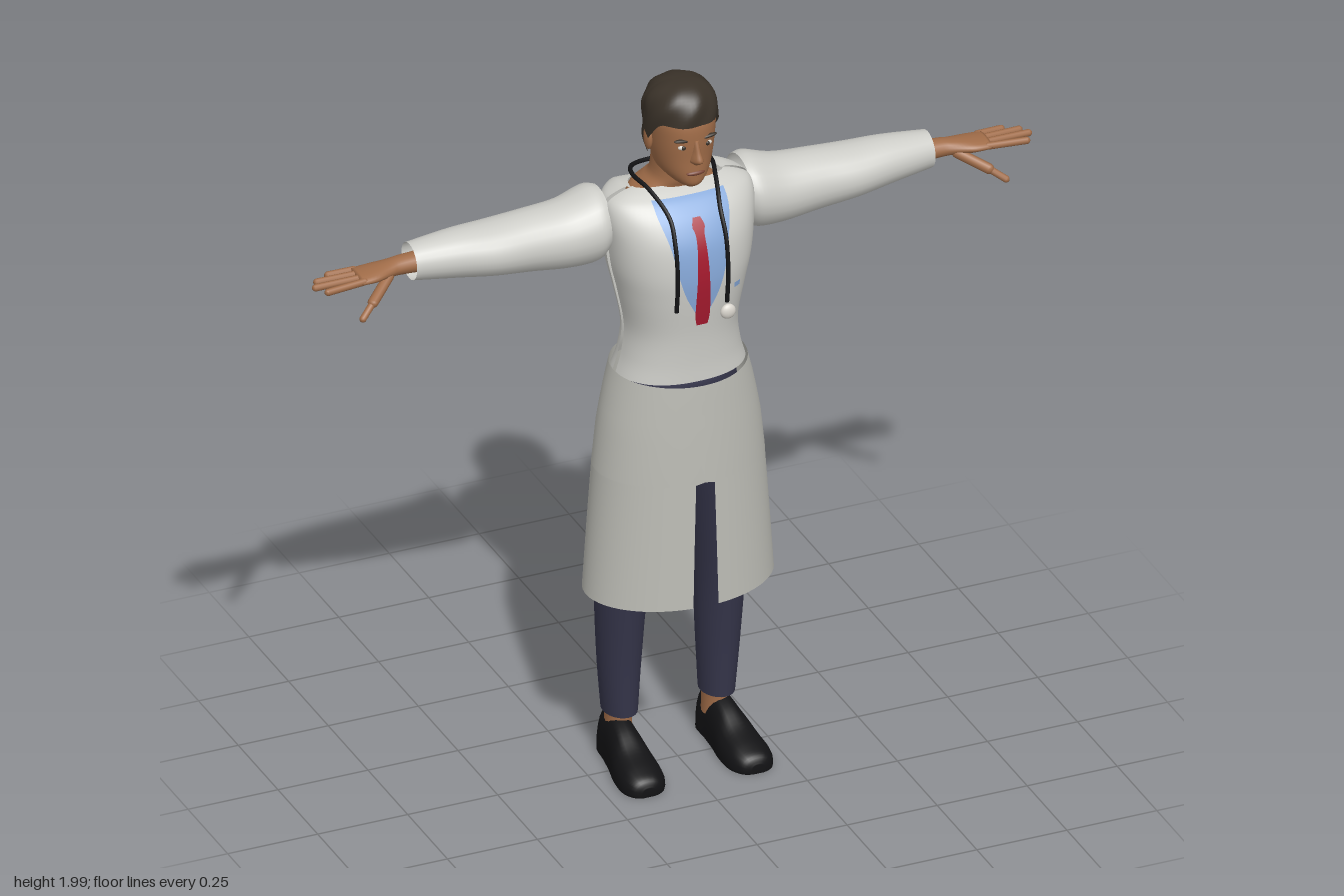
import * as THREE from 'three';

const mat = (name, color) => new THREE.MeshStandardMaterial({ name, color, side: THREE.DoubleSide });
const M = {
  coat: mat('coat cloth', 0xcdcdc8), skirt: mat('coat skirt cloth', 0xbdbdb6),
  skin: mat('skin', 0xa06c48), hair: mat('hair', 0x3a3229), trousers: mat('trousers', 0x35354a),
  shoe: mat('black leather', 0x121214), shirt: mat('shirt', 0x86a8d8), tie: mat('tie', 0xa51a2e),
  lips: mat('lips', 0x7a4636), white: mat('eye white', 0xd8d4cc),
};

// Catmull-Rom interpolation of every column of a section table
function smooth(secs, steps = 5) {
  const out = [], at = (i) => secs[Math.max(0, Math.min(secs.length - 1, i))];
  for (let i = 0; i < secs.length - 1; i++) {
    for (let s = 0; s < steps; s++) {
      const t = s / steps;
      out.push(secs[i].map((b, k) => {
        const a = at(i - 1)[k], c = at(i + 1)[k], d = at(i + 2)[k];
        return b + 0.5 * t * (c - a + t * (2 * a - 5 * b + 4 * c - d + t * (3 * (b - c) + d - a)));
      }));
    }
  }
  out.push(secs[secs.length - 1]);
  return out;
}

// Skins rows of points; closed rows wrap round, caps close both ends
function loft(name, material, rows, { closed = true, caps = false } = {}) {
  if (caps) {
    const mid = (r) => {
      const c = [0, 1, 2].map((k) => r.reduce((s, p) => s + p[k], 0) / r.length);
      return r.map(() => c);
    };
    rows = [mid(rows[0]), ...rows, mid(rows[rows.length - 1])];
  }
  const n = rows[0].length, index = [];
  for (let i = 0; i < rows.length - 1; i++) {
    for (let j = 0; j < (closed ? n : n - 1); j++) {
      const a = i * n + j, b = i * n + (j + 1) % n;
      index.push(a, a + n, b, b, a + n, b + n);
    }
  }
  const g = new THREE.BufferGeometry();
  g.setAttribute('position', new THREE.Float32BufferAttribute(rows.flat(2), 3));
  g.setIndex(index);
  g.computeVertexNormals();
  return named(name, new THREE.Mesh(g, material));
}
const named = (name, o) => { o.name = name; return o; };
const spow = (v, e) => Math.sign(v) * Math.abs(v) ** e;

// Unit superellipse points over an angle range
function arc(n, p = 2, from = 0, to = Math.PI * 2, closed = true) {
  return Array.from({ length: n }, (_, i) => {
    const a = from + (to - from) * i / (closed ? n : n - 1);
    return [spow(Math.cos(a), 2 / p), spow(Math.sin(a), 2 / p)];
  });
}
// Vertical section [y, half width, front z, back z], widest at z = zm
const upright = (secs, zm, pts, cx = 0) => smooth(secs).map(([y, rx, zf, zb]) =>
  pts.map(([c, s]) => [cx + rx * c, y, zm + s * (s > 0 ? zf - zm : zm - zb)]));
// Vertical limb section [y, cx, cz, rx, rz]
const limb = (secs, n = 24) => smooth(secs).map(([y, cx, cz, rx, rz]) =>
  arc(n).map(([c, s]) => [cx + rx * c, y, cz + rz * s]));
// Sideways limb section [x, cy, cz, ry, rz]
const sideways = (secs, n = 24) => smooth(secs).map(([x, cy, cz, ry, rz]) =>
  arc(n).map(([c, s]) => [x, cy + ry * s, cz + rz * c]));

function blob(name, material, [x, y, z], [rx, ry, rz]) {
  const m = new THREE.Mesh(new THREE.SphereGeometry(1, 18, 12), material);
  m.position.set(x, y, z);
  m.scale.set(rx, ry, rz);
  return named(name, m);
}
function finger(name, from, to, r) {
  const a = new THREE.Vector3(...from), b = new THREE.Vector3(...to), d = b.clone().sub(a);
  const m = new THREE.Mesh(new THREE.CapsuleGeometry(r, d.length(), 4, 10), M.skin);
  m.position.copy(a).add(b).multiplyScalar(0.5);
  m.quaternion.setFromUnitVectors(new THREE.Vector3(0, 1, 0), d.normalize());
  return named(name, m);
}

const TORSO = [[1.165, .175, .135, -.115], [1.22, .16, .135, -.095], [1.3, .152, .14, -.085],
  [1.4, .17, .153, -.12], [1.48, .188, .158, -.145], [1.56, .198, .148, -.153],
  [1.62, .204, .12, -.15], [1.66, .196, .085, -.14], [1.68, .165, .055, -.125], [1.692, .125, .03, -.11]];
const TP = 2.3, TZ = -.005, torsoTable = smooth(TORSO, 8);
// Front surface depth of the torso
function torsoFront(x, y) {
  let i = torsoTable.findIndex((r) => r[0] >= y);
  i = i < 1 ? 1 : i;
  const a = torsoTable[i - 1], b = torsoTable[i], t = (y - a[0]) / (b[0] - a[0]);
  const rx = a[1] + t * (b[1] - a[1]), zf = a[2] + t * (b[2] - a[2]);
  return TZ + (zf - TZ) * Math.max(0, 1 - Math.abs(x / rx) ** TP) ** (1 / TP);
}
// Thin cloth plate lying on the chest, rows [y, left x, right x]
const plate = (name, material, rows, lift) => loft(name, material, smooth(rows, 6).map(([y, a, b]) =>
  Array.from({ length: 13 }, (_, i) => {
    const x = a + (b - a) * i / 12;
    return [x, y, torsoFront(x, y) + lift];
  })), { closed: false });

function buildCoat(g) {
  // Front and back panels with a narrow side seam; the back neckline dips
  const panel = (name, from) => {
    const rows = upright(TORSO, TZ, arc(33, TP, from + .045, from + Math.PI - .045, false));
    rows.forEach((r) => r.forEach((p) => {
      if (p[2] < TZ && p[1] > 1.6) p[1] -= .035 * (p[1] - 1.6) / .09 * Math.max(0, 1 - (p[0] / .14) ** 2);
    }));
    return loft(name, M.coat, rows, { closed: false });
  };
  g.add(panel('coatFront', 0), panel('coatBack', Math.PI));

  // Skirt, slit at the front below y = 0.89
  const rows = [];
  for (const [y, rx, zf, zb, gap] of [[.53, .255, .18, -.175, .035], [.7, .243, .178, -.172, .031],
    [.885, .229, .176, -.168, .026], [.89, .229, .176, -.168, 0], [1, .217, .175, -.165, 0],
    [1.06, .206, .173, -.163, 0], [1.12, .193, .172, -.161, 0], [1.17, .18, .17, -.158, 0]]) {
    const cut = gap / rx;
    rows.push(arc(65, 2, Math.PI / 2 + cut, Math.PI * 2.5 - cut, false).map(([c, s]) =>
      [rx * c, y, s > 0 ? s * zf : -s * zb]));
  }
  g.add(loft('coatSkirt', M.skirt, rows, { closed: false }));
}

function buildShirtFront(g) {
  g.add(plate('shirt', M.shirt, [[1.675, -.1, .1], [1.64, -.098, .098], [1.57, -.08, .08], [1.5, -.066, .066],
    [1.43, -.045, .045], [1.365, -.012, .012]], .004));
  g.add(plate('tie', M.tie, [[1.635, -.01, .01], [1.615, -.017, .017], [1.59, -.012, .012], [1.5, -.016, .016],
    [1.38, -.02, .02], [1.34, -.015, .015]], .008));
  g.add(plate('pocketBadge', M.shirt, [[1.435, .095, .115], [1.42, .095, .115]], .004));
  // Stethoscope hanging round the neck
  const side = [1.39, 1.45, 1.52, 1.58, 1.64].map((y) => [.07, y, torsoFront(.07, y) + .009]);
  side.push([.092, 1.69, .03], [.108, 1.703, -.04], [.085, 1.697, -.095]);
  const pts = [...side, [0, 1.69, -.118], ...side.slice().reverse().map(([x, y, z]) => [-x, y, z])];
  const curve = new THREE.CatmullRomCurve3(pts.map((p) => new THREE.Vector3(...p)));
  g.add(named('stethoscopeTube', new THREE.Mesh(new THREE.TubeGeometry(curve, 90, .006, 8), M.shoe)));
  g.add(blob('stethoscopeBell', M.white, [.07, 1.365, .158], [.021, .021, .012]));
}

function buildHead(g) {
  const round = arc(36, 2.2);
  g.add(loft('neck', M.skin, upright([[1.58, .13, .04, -.125], [1.655, .125, .045, -.122], [1.685, .088, .04, -.108],
    [1.715, .064, .05, -.085], [1.79, .06, .055, -.075]], -.02, round), { caps: true }));
  g.add(loft('face', M.skin, upright([[1.713, .026, .095, .03], [1.728, .045, .114, 0], [1.755, .066, .117, -.04],
    [1.8, .078, .117, -.06], [1.85, .084, .12, -.075], [1.9, .086, .117, -.078], [1.945, .075, .095, -.06],
    [1.97, .04, .06, -.02]], .01, round), { caps: true }));
  g.add(loft('nose', M.skin, upright([[1.788, .008, .122, .09], [1.798, .018, .138, .09], [1.81, .016, .151, .09],
    [1.83, .011, .138, .09], [1.858, .009, .123, .09]], .1, arc(14)), { caps: true }));
  g.add(blob('mouth', M.lips, [0, 1.762, .112], [.026, .007, .009]));
  for (const s of [-1, 1]) {
    g.add(blob('eye', M.white, [s * .033, 1.841, .108], [.014, .007, .007]));
    g.add(blob('iris', M.hair, [s * .033, 1.841, .113], [.006, .006, .004]));
    const brow = blob('eyebrow', M.hair, [s * .036, 1.861, .111], [.024, .005, .007]);
    brow.rotation.z = s * .12;
    g.add(brow, blob('ear', M.skin, [s * .086, 1.832, .008], [.01, .034, .02]));
  }
  // Hair shell: hairline height follows the angle, with soft waves on top
  const rows = [], N = 48, V = 16;
  for (let v = 0; v <= V; v++) {
    rows.push(Array.from({ length: N }, (_, j) => {
      const a = j / N * Math.PI * 2, c = Math.cos(a), s = Math.sin(a);
      const line = s > .55 ? 1.898 : s > .1 ? 1.835 + (s - .1) * .14 : s > -.25 ? 1.86 : 1.775;
      const y = line + (1.99 - line) * Math.sin(v / V * Math.PI / 2);
      const up = Math.max(0, (y - 1.9) / .09), k = Math.max(0, 1 - up ** 2.6) ** (1 / 2.2);
      const r = k * (y < 1.83 ? .86 + (y - 1.77) * 2.3 : 1) * (1 + .025 * Math.sin(7 * a + y * 60));
      return [.096 * c * r, y + .008 * up * Math.max(0, s) * k, .012 + (s > 0 ? .108 : .1) * s * r];
    }));
  }
  g.add(loft('hair', M.hair, rows));
}

function buildArm() {
  const arm = named('arm', new THREE.Group());
  arm.add(loft('sleeve', M.coat, sideways([[.195, 1.59, -.055, .088, .09], [.225, 1.58, -.057, .1, .102],
    [.3, 1.568, -.055, .09, .093], [.4, 1.57, -.055, .08, .086], [.5, 1.572, -.055, .071, .084],
    [.6, 1.578, -.056, .063, .07], [.72, 1.58, -.058, .05, .05]])));
  arm.add(loft('hand', M.skin, sideways([[.62, 1.575, -.057, .03, .034], [.74, 1.577, -.056, .025, .029],
    [.78, 1.577, -.052, .021, .032], [.83, 1.577, -.045, .017, .043], [.875, 1.577, -.043, .013, .044]], 18), { caps: true }));
  [[-.078, .935, -.084], [-.055, .975, -.062], [-.032, .99, -.036], [-.01, .97, -.002]].forEach(([z, x, tipZ]) =>
    arm.add(finger('finger', [.865, 1.578, z], [x, 1.575, tipZ], .0095)));
  arm.add(finger('thumbBase', [.79, 1.565, -.03], [.855, 1.53, .02], .014));
  arm.add(finger('thumb', [.855, 1.53, .02], [.893, 1.503, .043], .0095));
  return arm;
}

function buildLeg() {
  const leg = named('leg', new THREE.Group());
  leg.add(loft('trouserLeg', M.trousers, limb([[.14, .135, -.063, .045, .06], [.3, .137, -.06, .056, .068],
    [.5, .135, -.05, .066, .082], [.7, .118, -.03, .077, .095], [.88, .098, -.015, .092, .112], [1, .085, -.01, .085, .11]])));
  leg.add(loft('ankle', M.skin, limb([[.07, .135, -.07, .036, .046], [.13, .135, -.07, .034, .044],
    [.2, .135, -.065, .036, .048]], 18)));
  // Shoe sections from toe to heel: [z, half width, height], flat underneath
  const toe = [[.166, .018, .025], [.155, .043, .045], [.12, .06, .06], [.06, .06, .08], [0, .05, .112],
    [-.06, .043, .13], [-.11, .04, .128], [-.13, .024, .09]];
  leg.add(loft('shoe', M.shoe, smooth(toe).map(([z, rx, h]) => arc(24, 2.4).map(([c, s]) =>
    [.14 + (z + .06) * .05 + rx * c, .008 + Math.max(-.008, s > 0 ? s * (h - .008) : s * .02), z])), { caps: true }));
  return leg;
}

export function createModel() {
  const root = named('coatedMan', new THREE.Group());
  buildCoat(root);
  buildShirtFront(root);
  buildHead(root);
  root.add(loft('hips', M.trousers, upright([[.885, .12, .07, -.1], [.92, .165, .1, -.125], [1.02, .168, .11, -.125],
    [1.15, .15, .105, -.09]], 0, arc(32)), { caps: true }));
  for (const s of [1, -1]) {
    const side = named(s > 0 ? 'leftLimbs' : 'rightLimbs', new THREE.Group());
    side.add(buildArm(), buildLeg());
    side.scale.x = s;
    root.add(side);
  }
  return root;
}
